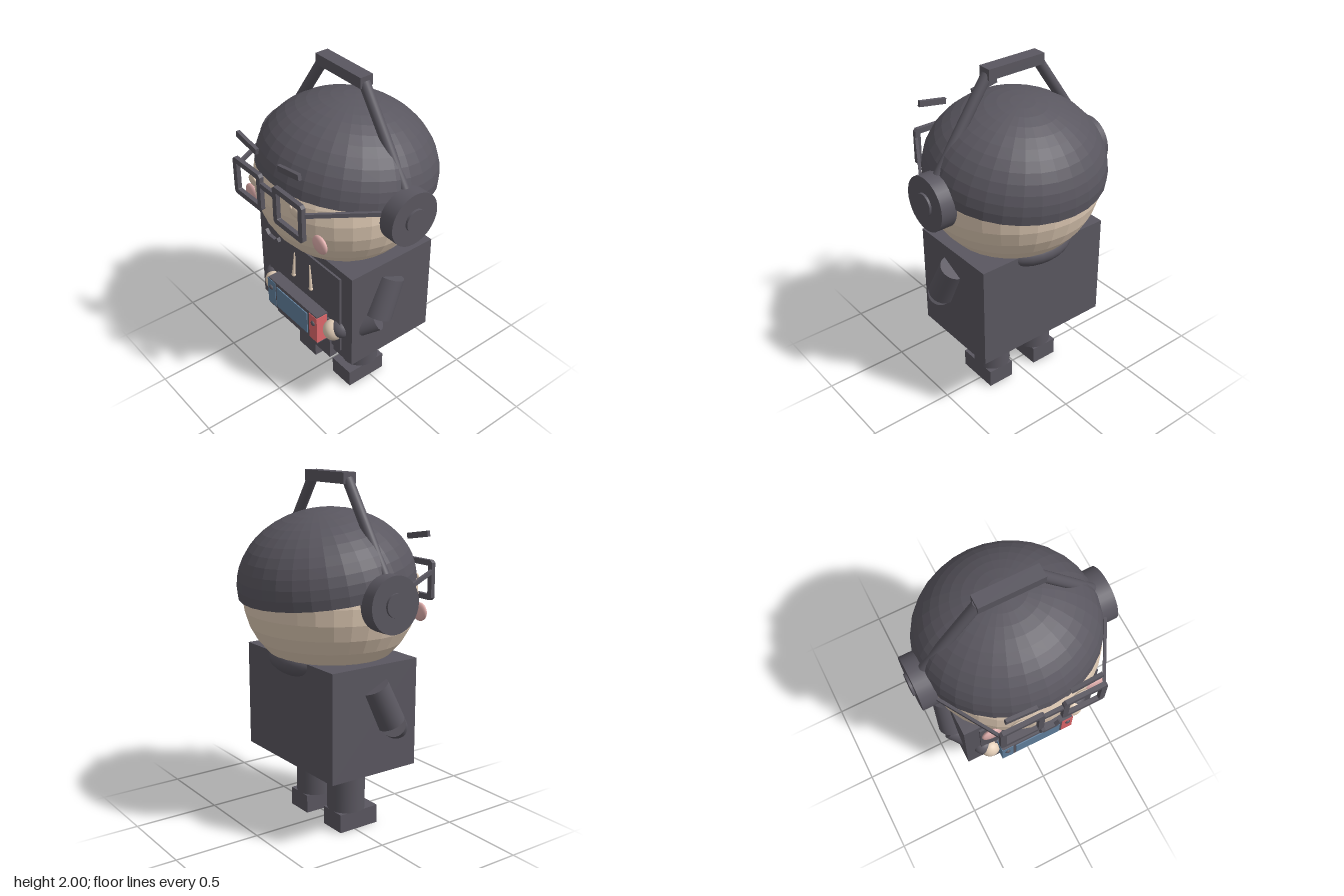
import * as THREE from 'three';

const material = (name, color, side = THREE.FrontSide) => {
  const m = new THREE.MeshStandardMaterial({ color, side });
  m.name = name;
  return m;
};

export function createModel() {
  const model = new THREE.Group();
  model.name = 'gamerFigure';
  const dark = material('charcoal', 0x5a5760, THREE.DoubleSide);
  const skin = material('skin', 0xe2cdb7);
  const pink = material('blush', 0xe0afad);
  const blue = material('blue', 0x62819f);
  const red = material('red', 0xdf686b);

  const add = (name, geo, mat, x = 0, y = 0, z = 0) => {
    const mesh = new THREE.Mesh(geo, mat);
    mesh.name = name;
    mesh.position.set(x, y, z);
    model.add(mesh);
    return mesh;
  };
  // Box given by its limits on each axis
  const box = (name, mat, [x0, x1], [y0, y1], [z0, z1]) =>
    add(name, new THREE.BoxGeometry(x1 - x0, y1 - y0, z1 - z0), mat,
      (x0 + x1) / 2, (y0 + y1) / 2, (z0 + z1) / 2);
  const ball = (name, mat, p, [rx, ry, rz]) =>
    add(name, new THREE.SphereGeometry(1, 24, 16).scale(rx, ry, rz), mat, ...p);
  // Cylinder or cone running from a to b
  const rod = (name, mat, a, b, ra, rb = ra, sides = 24) => {
    const A = new THREE.Vector3(...a), B = new THREE.Vector3(...b);
    const d = B.clone().sub(A);
    const mesh = add(name, new THREE.CylinderGeometry(rb, ra, d.length(), sides), mat,
      ...A.clone().add(B).multiplyScalar(0.5).toArray());
    mesh.quaternion.setFromUnitVectors(new THREE.Vector3(0, 1, 0), d.normalize());
    return mesh;
  };
  const faceted = (geo) => {
    const g = geo.toNonIndexed();
    g.computeVertexNormals();
    return g;
  };

  // Head and tilted hair cap, which dips slightly past its widest ring
  add('head', faceted(new THREE.SphereGeometry(1, 32, 16).scale(0.497, 0.46, 0.486)), skin, 0, 1.335, 0.005);
  const hair = add('hair', faceted(new THREE.SphereGeometry(1, 32, 12, 0, Math.PI * 2, 0, Math.PI * 0.515)
    .scale(0.511, 0.402, 0.493)), dark, 0, 1.402, -0.02);
  hair.rotation.x = -0.157;

  // Torso, front panel, pocket and hood
  box('torso', dark, [-0.42, 0.42], [0.39, 1.005], [-0.28, 0.285]);
  box('frontPanel', dark, [-0.33, 0.33], [0.44, 0.955], [0.27, 0.297]);
  box('pocket', dark, [-0.255, 0.255], [0.34, 0.62], [0.26, 0.31]);
  ball('hood', dark, [0, 0.985, -0.175], [0.24, 0.1, 0.175]);

  // Handheld console: dark shell with coloured controllers set into its ends
  box('consoleBody', dark, [-0.23, 0.23], [0.47, 0.665], [0.305, 0.38]);
  box('consoleScreen', blue, [-0.145, 0.145], [0.495, 0.64], [0.379, 0.386]);
  box('rightController', blue, [-0.234, -0.162], [0.48, 0.656], [0.31, 0.383]);
  box('leftController', red, [0.162, 0.234], [0.48, 0.656], [0.31, 0.383]);

  // Mouth
  const smile = new THREE.Shape([[-0.064, 1.145], [-0.035, 1.115], [0.035, 1.115], [0.064, 1.145],
    [0.052, 1.165], [0.028, 1.142], [-0.028, 1.142], [-0.052, 1.165]].map((p) => new THREE.Vector2(...p)));
  add('mouth', new THREE.ExtrudeGeometry(smile, { depth: 0.02, bevelEnabled: false }), dark, 0, 0, 0.475);

  // Spectacle frame: rectangle with cut corners and a square opening
  const rect = (S, w, h, c) => new S([[-w + c, -h], [w - c, -h], [w, -h + c], [w, h - c],
    [w - c, h], [-w + c, h], [-w, h - c], [-w, -h + c]].map((p) => new THREE.Vector2(...p)));
  const rim = rect(THREE.Shape, 0.124, 0.113, 0.014);
  rim.holes.push(rect(THREE.Path, 0.091, 0.081, 0.002));
  const rimGeo = new THREE.ExtrudeGeometry(rim, { depth: 0.025, bevelEnabled: false });
  box('glassesBridge', dark, [-0.06, 0.06], [1.43, 1.46], [0.487, 0.508]);

  // Headphone band
  box('headbandTop', dark, [-0.18, 0.18], [1.94, 2.0], [-0.037, 0.042]);

  for (const s of [-1, 1]) {
    // Face
    add('glassesRim', rimGeo, dark, s * 0.178, 1.393, 0.485);
    const temple = add('glassesTemple', new THREE.BoxGeometry(0.016, 0.024, 0.39), dark, s * 0.39, 1.43, 0.328);
    temple.lookAt(s * 0.29, 1.444, 0.497);
    ball('eye', skin, [s * 0.18, 1.395, 0.463], [0.046, 0.034, 0.013]);
    ball('eyeHighlight', skin, [s * 0.16, 1.412, 0.473], [0.012, 0.012, 0.006]);
    ball('cheek', pink, [s * 0.302, 1.228, 0.402], [0.058, 0.053, 0.02]);
    const brow = add('eyebrow', new THREE.BoxGeometry(0.175, 0.034, 0.02), dark, s * 0.18, 1.638, 0.487);
    brow.rotation.z = s * 0.17;

    // Headphones
    rod('earCup', dark, [s * 0.48, 1.355, 0.005], [s * 0.573, 1.355, 0.005], 0.154, 0.154, 32);
    rod('earCupCap', dark, [s * 0.57, 1.355, 0.005], [s * 0.586, 1.355, 0.005], 0.064);
    rod('headbandStrut', dark, [s * 0.162, 1.96, 0.003], [s * 0.484, 1.49, 0.003], 0.03);

    // Drawstring
    rod('drawstring', skin, [s * 0.081, 0.735, 0.304], [s * 0.07, 0.895, 0.3], 0.011, 0.004, 12);
    ball('drawstringTip', skin, [s * 0.081, 0.736, 0.304], [0.014, 0.012, 0.012]);

    // Arm and hand; the forearm runs into the torso and the cuff emerges at the front
    rod('upperArm', dark, [s * 0.407, 0.887, 0.005], [s * 0.427, 0.67, 0.107], 0.08);
    rod('forearm', dark, [s * 0.436, 0.66, 0.115], [s * 0.34, 0.59, 0.215], 0.07);
    ball('cuff', dark, [s * 0.31, 0.588, 0.272], [0.062, 0.056, 0.06]);
    ball('hand', skin, [s * 0.278, 0.567, 0.3], [0.06, 0.064, 0.06]);
    ball('controllerButton', dark, [s * 0.2, 0.605, 0.384], [0.016, 0.016, 0.01]);

    // Leg and shoe
    rod('leg', dark, [s * 0.157, 0.108, 0.005], [s * 0.157, 0.36, 0.005], 0.108, 0.108, 32);
    const cx = s * 0.168;
    box('shoe', dark, [cx - 0.082, cx + 0.082], [0, 0.108], [-0.1, 0.158]);
  }
  return model;
}
